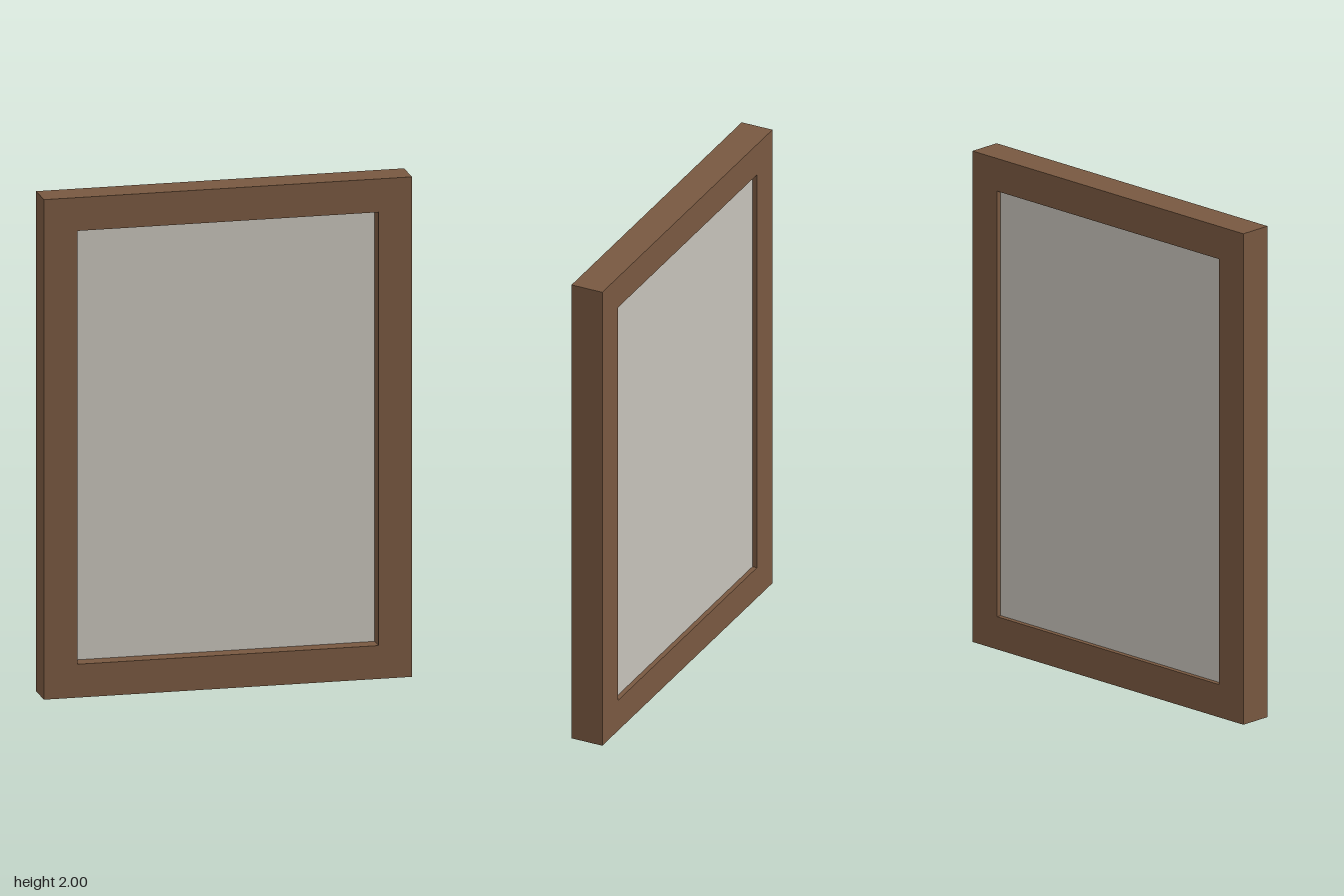
import * as THREE from 'three';

const WIDTH = 1.4667, HEIGHT = 2, DEPTH = 0.1333, BORDER = 0.1333;

// Rectangle outline centred on x = 0, inset from the outer size
function rectangle(PathType, inset) {
  const x = WIDTH / 2 - inset, bottom = inset, top = HEIGHT - inset;
  return new PathType().setFromPoints([
    new THREE.Vector2(-x, bottom), new THREE.Vector2(x, bottom),
    new THREE.Vector2(x, top), new THREE.Vector2(-x, top),
  ]).closePath();
}

function part(name, geometry, color) {
  const mesh = new THREE.Mesh(geometry, new THREE.MeshStandardMaterial({ color }));
  mesh.name = name;
  return mesh;
}

export function createModel() {
  const model = new THREE.Group();
  model.name = 'framedPanel';

  // Wooden frame with a rectangular opening
  const outline = rectangle(THREE.Shape, 0);
  outline.holes.push(rectangle(THREE.Path, BORDER));
  const frameGeometry = new THREE.ExtrudeGeometry(outline, { depth: DEPTH, bevelEnabled: false });
  frameGeometry.translate(0, 0, -DEPTH / 2);
  model.add(part('frame', frameGeometry, 0x785840));

  // Panel set deeper from the front than from the back
  const back = -0.047, front = 0;
  const panel = part('panel',
    new THREE.BoxGeometry(WIDTH - 2 * BORDER, HEIGHT - 2 * BORDER, front - back), 0xc5c1b9);
  panel.position.set(0, HEIGHT / 2, (front + back) / 2);
  model.add(panel);

  return model;
}
